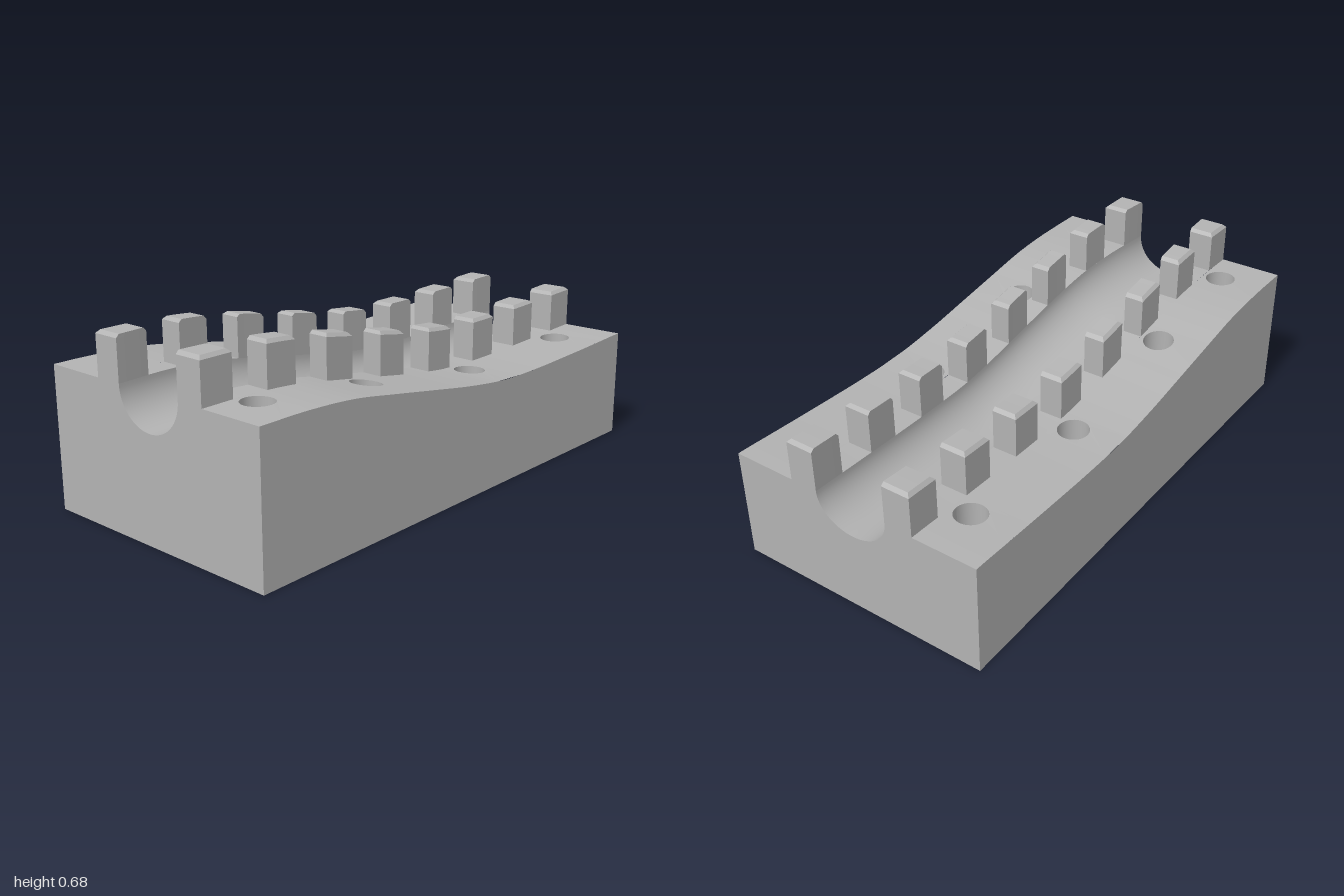
import * as THREE from 'three';

const HALF_Z = 0.495, RAIL_Z = 0.25, HOLE_R = 0.057, HOLE_Z = 0.32;
const HOLE_X = [-0.84, -0.35, 0.225, 0.8];

// Smooth value along x from samples every 0.2 units
function along(values) {
  const curve = new THREE.SplineCurve(values.map((v, i) => new THREE.Vector2(i, v)));
  return x => curve.getPoint(THREE.MathUtils.clamp((x + 1) / 2, 0, 1)).y;
}
const topY = along([0.52, 0.52, 0.508, 0.478, 0.446, 0.415, 0.394, 0.392, 0.398, 0.406, 0.415]);
const grooveHalf = along([0.143, 0.158, 0.17, 0.175, 0.173, 0.168, 0.162, 0.158, 0.153, 0.148, 0.143]);
const grooveDepth = x => 0.126 - 0.009 * x;

// Grid surface: f(u, v) gives the point, facing du x dv
function surface(nu, nv, f) {
  const g = new THREE.PlaneGeometry(1, 1, nu, nv);
  const p = g.attributes.position;
  for (let i = 0; i < p.count; i++) p.setXYZ(i, ...f(p.getX(i) + 0.5, p.getY(i) + 0.5));
  g.computeVertexNormals();
  return g;
}

function rectShape(x0, x1, y0, y1) {
  return new THREE.Shape([[x0, y0], [x1, y0], [x1, y1], [x0, y1]].map(a => new THREE.Vector2(...a)));
}

function addHole(shape, x, y) {
  shape.holes.push(new THREE.Path().absarc(x, y, HOLE_R, 0, Math.PI * 2, true));
}

// Block tooth: bevelled top, inner face following the groove
function toothGeometry(cx, side) {
  const w = 0.125, bevel = 0.012;
  const g = new THREE.BoxGeometry(1, 1, 1, 4, 2, 1);
  const p = g.attributes.position;
  for (let i = 0; i < p.count; i++) {
    const level = p.getY(i), outer = p.getZ(i) * side > 0;
    const inset = level > 0.4 ? bevel : 0;
    const x = cx + p.getX(i) * (w - 2 * inset);
    const y = topY(x) + (level < -0.4 ? 0 : level < 0.4 ? 0.147 : 0.159);
    p.setXYZ(i, x, y, side * (outer ? RAIL_Z - inset : grooveHalf(x)));
  }
  const flat = g.toNonIndexed();
  flat.computeVertexNormals();
  return flat;
}

export function createModel() {
  const model = new THREE.Group();
  const grey = new THREE.MeshStandardMaterial({ color: 0xb3b3b3 });
  grey.name = 'plain grey';
  const add = (name, geometry, parent = model) => {
    const mesh = new THREE.Mesh(geometry, grey);
    mesh.name = name;
    parent.add(mesh);
    return mesh;
  };

  // Long walls under the wavy top edge
  const body = new THREE.Group();
  body.name = 'body';
  model.add(body);
  for (const side of [1, -1]) {
    add('longWall', surface(60, 1, (u, v) => {
      const x = side * (2 * u - 1);
      return [x, v * topY(x), side * HALF_Z];
    }), body);
  }

  // End walls with the groove cut out
  for (const side of [1, -1]) {
    const y = topY(side), w = grooveHalf(side), d = grooveDepth(side);
    const end = new THREE.Shape();
    end.moveTo(-HALF_Z, 0).lineTo(HALF_Z, 0).lineTo(HALF_Z, y).lineTo(w, y);
    for (let i = 1; i <= 32; i++) {
      const a = Math.PI * i / 32;
      end.lineTo(w * Math.cos(a), y - d * Math.sin(a));
    }
    end.lineTo(-HALF_Z, y);
    add('endWall', new THREE.ShapeGeometry(end).rotateY(side * Math.PI / 2).translate(side, 0, 0), body);
  }

  // Underside with eight bolt holes
  const base = rectShape(-1, 1, -HALF_Z, HALF_Z);
  for (const x of HOLE_X) for (const s of [1, -1]) addHole(base, x, s * HOLE_Z);
  add('underside', new THREE.ShapeGeometry(base, 24).rotateX(Math.PI / 2), body);

  // Curved groove along the length
  add('groove', surface(60, 32, (u, v) => {
    const x = 2 * u - 1, a = Math.PI * v;
    return [x, topY(x) - grooveDepth(x) * Math.sin(a), grooveHalf(x) * Math.cos(a)];
  }), body);

  for (const side of [1, -1]) {
    // Floor between the teeth
    add('toothFloor', surface(60, 1, (u, v) => {
      const x = 2 * u - 1;
      const near = side > 0 ? RAIL_Z : -grooveHalf(x);
      const far = side > 0 ? grooveHalf(x) : -RAIL_Z;
      return [x, topY(x), near + (far - near) * v];
    }), body);

    // Outer shelf: plain stretches between square patches with holes
    const near = side > 0 ? HALF_Z : -RAIL_Z, far = side > 0 ? RAIL_Z : -HALF_Z;
    let start = -1;
    for (const hx of [...HOLE_X, 1.07]) {
      const x0 = start, x1 = hx - 0.07;
      add('shelf', surface(14, 1, (u, v) => {
        const x = x0 + (x1 - x0) * u;
        return [x, topY(x), near + (far - near) * v];
      }), body);
      start = hx + 0.07;
      if (hx > 1) break;

      const patch = rectShape(x1, start, -near, -far);
      addHole(patch, hx, -side * HOLE_Z);
      const top = new THREE.ShapeGeometry(patch, 24).rotateX(-Math.PI / 2);
      const p = top.attributes.position;
      for (let i = 0; i < p.count; i++) p.setY(i, topY(p.getX(i)));
      top.computeVertexNormals();
      add('shelfAroundHole', top, body);

      // Inward-facing bolt hole wall
      const bore = new THREE.CylinderGeometry(HOLE_R, HOLE_R, 1, 48, 1, true).scale(-1, 1, 1).translate(hx, 0.5, side * HOLE_Z);
      const q = bore.attributes.position;
      for (let i = 0; i < q.count; i++) q.setY(i, q.getY(i) * topY(q.getX(i)));
      bore.computeVertexNormals();
      add('boltHole', bore, body);
    }
  }

  // Two rows of eight teeth
  for (const side of [1, -1]) {
    const row = new THREE.Group();
    row.name = side > 0 ? 'frontTeeth' : 'backTeeth';
    model.add(row);
    for (let i = 0; i < 8; i++) add('tooth', toothGeometry(-0.9375 + i * 1.875 / 7, side), row);
  }
  return model;
}
